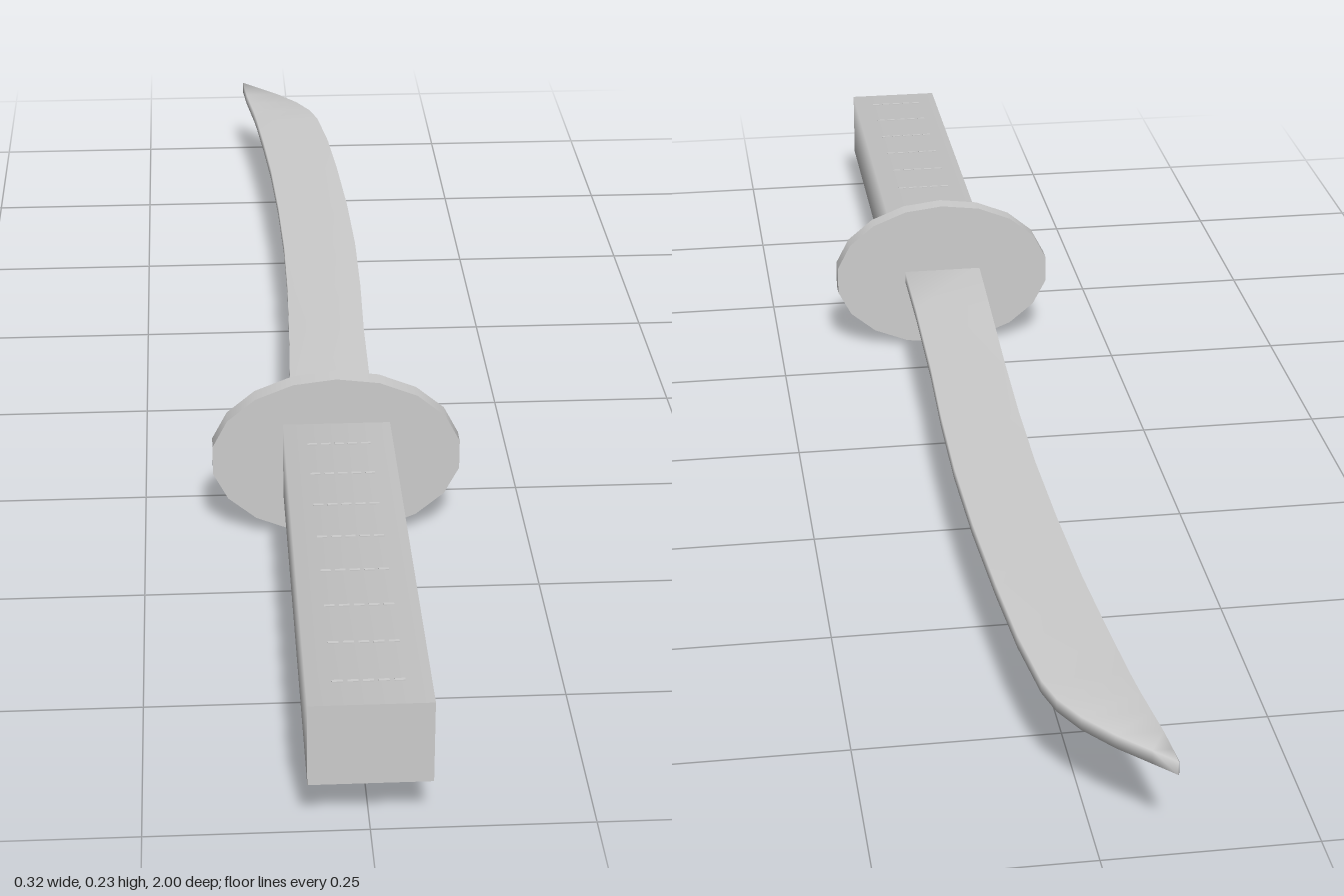
import * as THREE from 'three';

const CY = 0.115; // height of the sword's long axis

export function createModel() {
  const group = new THREE.Group();
  const mat = new THREE.MeshStandardMaterial({ color: 0xcccccc });
  const add = (name, geo, parent = group) => {
    const mesh = new THREE.Mesh(geo, mat);
    mesh.name = name;
    parent.add(mesh);
    return mesh;
  };

  // Handle: four-sided grip with softly shaded sides and flat ends
  const grip = new THREE.CylinderGeometry(Math.SQRT2, Math.SQRT2, 1, 4)
    .rotateY(Math.PI / 4).rotateX(Math.PI / 2).scale(0.069, 0.051, 0.65);
  add('handle', grip).position.set(0, CY - 0.001, 0.675);

  // Guard: oval 18-sided plate
  const plate = new THREE.CylinderGeometry(1, 1, 1, 18)
    .rotateX(Math.PI / 2).scale(0.1625, 0.1135, 0.025);
  add('guard', plate).position.set(0, CY, 0.347);

  // Blade: rectangular cross-sections [z, left edge x, right edge x]
  const sections = [
    [0.35, -0.058, 0.057], [0.2, -0.053, 0.057], [0, -0.046, 0.06],
    [-0.15, -0.042, 0.065], [-0.3, -0.041, 0.067], [-0.45, -0.044, 0.064],
    [-0.6, -0.05, 0.057], [-0.72, -0.058, 0.049], [-0.82, -0.066, 0.037],
    [-0.86, -0.07, 0.026], [-0.9, -0.075, 0.005], [-0.94, -0.08, -0.026],
    [-0.975, -0.083, -0.06], [-1, -0.085, -0.084],
  ];
  const half = 0.0085, pos = [], index = [];
  for (const [z, l, r] of sections) {
    pos.push(r, half, z, l, half, z, l, -half, z, r, -half, z);
  }
  for (let i = 0; i < sections.length - 1; i++) {
    for (let k = 0; k < 4; k++) {
      const a = i * 4 + k, b = i * 4 + (k + 1) % 4, c = a + 4, d = b + 4;
      index.push(a, c, b, b, c, d);
    }
  }
  const e = (sections.length - 1) * 4; // close root and tip
  index.push(0, 1, 2, 0, 2, 3, e, e + 2, e + 1, e, e + 3, e + 2);
  const bladeGeo = new THREE.BufferGeometry();
  bladeGeo.setAttribute('position', new THREE.Float32BufferAttribute(pos, 3));
  bladeGeo.setIndex(index);
  bladeGeo.computeVertexNormals();
  add('blade', bladeGeo).position.y = CY;

  // Grip stitching: rows of short raised dashes above and below
  const stitches = new THREE.Group();
  stitches.name = 'gripStitching';
  group.add(stitches);
  const dash = new THREE.BoxGeometry(0.012, 0.003, 0.004);
  for (const y of [CY + 0.0495, CY - 0.0515]) {
    for (let row = 0; row < 8; row++) {
      for (let i = -2; i <= 2; i++) {
        add('stitch', dash, stitches).position.set(i * 0.017, y, 0.415 + row * 0.077);
      }
    }
  }
  return group;
}
